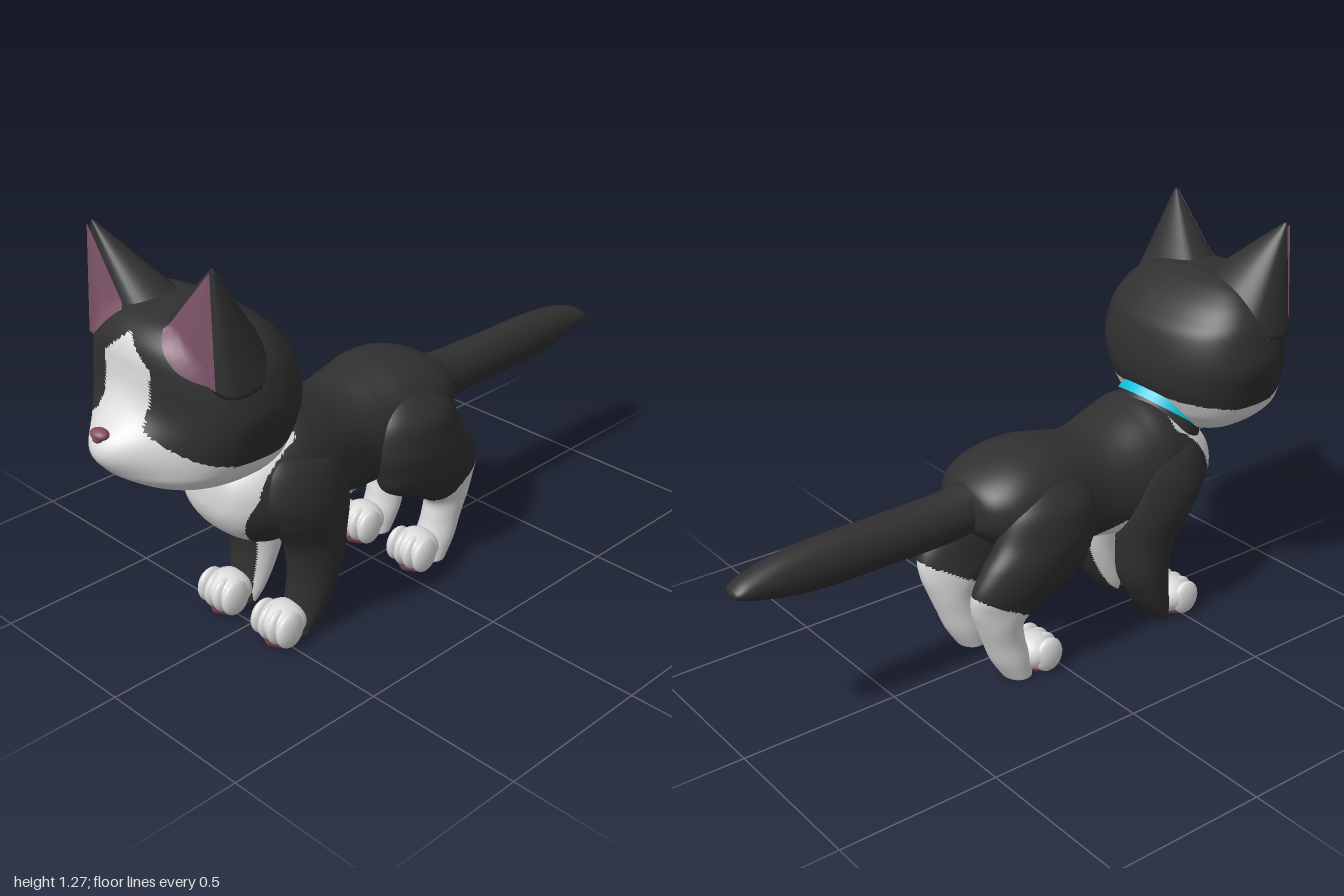
import * as THREE from 'three';

const mat = (name, color, side = THREE.FrontSide) =>
  Object.assign(new THREE.MeshStandardMaterial({ color, side }), { name });
const black = mat('black fur', 0x303030);
const white = mat('white fur', 0xdcdcdc);
const pink = mat('inner ear pink', 0x7a5266, THREE.DoubleSide);
const nosePink = mat('nose pink', 0x84505f);
const padPink = mat('paw pad pink', 0x6a3d4c);
const cyan = mat('collar blue', 0x12bfdc);

const clamp01 = (v) => Math.min(1, Math.max(0, v));
const spow = (v, p) => Math.sign(v) * Math.abs(v) ** p;

// Smooth interpolation through rows of numbers, t from 0 to 1
function rowAt(rows, t) {
  const f = t * (rows.length - 1);
  const i = Math.min(Math.floor(f), rows.length - 2);
  const u = f - i;
  const a = rows[Math.max(i - 1, 0)], b = rows[i], c = rows[i + 1], d = rows[Math.min(i + 2, rows.length - 1)];
  return b.map((v, k) => v + 0.5 * u * (c[k] - a[k]
    + u * (2 * a[k] - 5 * b[k] + 4 * c[k] - d[k] + u * (3 * (b[k] - c[k]) + d[k] - a[k]))));
}

// Closed skin over interpolated rings, always wound to face outwards
function loft(rows, ring, seg, steps) {
  const pos = [], index = [];
  for (let j = 0; j <= steps; j++) {
    const row = rowAt(rows, j / steps);
    for (let i = 0; i < seg; i++) pos.push(...ring(row, (i / seg) * Math.PI * 2));
  }
  for (const j of [0, steps]) {
    const c = [0, 0, 0];
    for (let i = 0; i < seg; i++) for (let k = 0; k < 3; k++) c[k] += pos[(j * seg + i) * 3 + k] / seg;
    pos.push(...c);
  }
  const first = (steps + 1) * seg;
  for (let i = 0; i < seg; i++) {
    const n = (i + 1) % seg;
    for (let j = 0; j < steps; j++) {
      const a = j * seg + i, b = j * seg + n;
      index.push(a, b, a + seg, b, b + seg, a + seg);
    }
    index.push(first, n, i, first + 1, steps * seg + i, steps * seg + n);
  }
  let volume = 0;
  const v = (i) => new THREE.Vector3().fromArray(pos, i * 3);
  for (let i = 0; i < index.length; i += 3) volume += v(index[i]).dot(v(index[i + 1]).cross(v(index[i + 2])));
  if (volume < 0) index.reverse();
  const geo = new THREE.BufferGeometry();
  geo.setAttribute('position', new THREE.Float32BufferAttribute(pos, 3));
  geo.setIndex(index);
  geo.computeVertexNormals();
  return geo;
}

// Splits faces into black and white fur by the position of their centre
function furMesh(name, geo, isWhite) {
  const p = geo.attributes.position, src = geo.index.array, lists = [[], []];
  for (let i = 0; i < src.length; i += 3) {
    const tri = [src[i], src[i + 1], src[i + 2]];
    const mid = (get) => tri.reduce((s, k) => s + p[get](k), 0) / 3;
    lists[isWhite(Math.abs(mid('getX')), mid('getY'), mid('getZ')) ? 1 : 0].push(...tri);
  }
  geo.setIndex([...lists[0], ...lists[1]]);
  geo.clearGroups();
  geo.addGroup(0, lists[0].length, 0);
  geo.addGroup(lists[0].length, lists[1].length, 1);
  const mesh = new THREE.Mesh(geo, [black, white]);
  mesh.name = name;
  return mesh;
}

function ball(name, material, [x, y, z], [rx, ry, rz]) {
  const mesh = new THREE.Mesh(new THREE.SphereGeometry(1, 20, 14), material);
  mesh.position.set(x, y, z);
  mesh.scale.set(rx, ry, rz);
  mesh.name = name;
  return mesh;
}

// Head rows: height, half width, back z, front z
const headRows = [
  [0.598, 0.02, 0.63, 0.7], [0.61, 0.12, 0.58, 0.8], [0.63, 0.185, 0.53, 0.86], [0.67, 0.235, 0.49, 0.9],
  [0.71, 0.262, 0.465, 0.905], [0.78, 0.287, 0.435, 0.9], [0.86, 0.305, 0.43, 0.885], [0.95, 0.292, 0.45, 0.885],
  [1.0, 0.272, 0.49, 0.883], [1.04, 0.24, 0.53, 0.868], [1.075, 0.19, 0.58, 0.83], [1.093, 0.12, 0.62, 0.77],
  [1.1, 0.02, 0.64, 0.68]];
const headZ = 0.655, headPower = 2.3;
const muzzle = (x, y) => 0.095 * Math.exp(-((x / 0.12) ** 2) - ((y - 0.76) / 0.09) ** 2);

function headRing([y, hw, zb, zf], a) {
  const x = hw * spow(Math.sin(a), 2 / headPower), c = spow(Math.cos(a), 2 / headPower);
  const z = c > 0 ? headZ + (zf - headZ) * c + muzzle(x, y) * Math.min(1, c * 1.5) : headZ + (headZ - zb) * c;
  return [x, y, z];
}

// Front surface of the head at x, y
function headFront(x, y) {
  let best = headRows[0];
  for (let i = 0; i <= 300; i++) {
    const r = rowAt(headRows, i / 300);
    if (Math.abs(r[0] - y) < Math.abs(best[0] - y)) best = r;
  }
  const q = Math.abs(x) / best[1];
  if (q >= 1 || Math.abs(best[0] - y) > 0.01) return 0;
  return headZ + (best[3] - headZ) * (1 - q ** headPower) ** (1 / headPower) + muzzle(x, y);
}

function headWhite(x, y, z) {
  if (z < headZ + 0.1) return y < 0.72 + Math.max(0, 0.6 - z) * 0.15;
  if (x < 0.09) return y < 1.055 - (x / 0.09) * 0.075;
  return y < Math.max(0.715, 0.83 - 0.657 * (x - 0.09));
}

function ear(s) {
  const g = new THREE.Group();
  g.name = s > 0 ? 'leftEar' : 'rightEar';
  const vec = ([x, y, z]) => new THREE.Vector3(x, y, z);
  const tip = vec([0.242, 1.274, 0.785]);
  const base = new THREE.CatmullRomCurve3([[0.05, 1.07, 0.79], [0.17, 0.98, 0.81], [0.283, 0.93, 0.78],
    [0.28, 0.95, 0.63], [0.17, 1.0, 0.58], [0.03, 1.08, 0.66]].map(vec), true);
  const shell = new THREE.Mesh(loft([[0], [0.5], [0.97]], ([v], a) => {
    const p = base.getPoint(a / (Math.PI * 2)).lerp(tip, v);
    return [s * p.x, p.y, p.z];
  }, 48, 16), black);
  shell.name = 'earShell';
  // Pink lining lies just in front of the ear and the brow
  const hem = new THREE.CatmullRomCurve3([[0.085, 1.075, 0.812], [0.17, 0.992, 0.826], [0.257, 0.953, 0.806]].map(vec));
  const peak = vec([0.243, 1.262, 0.797]);
  const lining = new THREE.PlaneGeometry(1, 1, 16, 16);
  const p = lining.attributes.position;
  for (let i = 0; i < p.count; i++) {
    const q = hem.getPoint(clamp01(0.5 + s * p.getX(i))).lerp(peak, p.getY(i) + 0.5);
    p.setXYZ(i, s * q.x, q.y, Math.max(q.z, headFront(q.x, q.y) + 0.005));
  }
  lining.computeVertexNormals();
  const inner = new THREE.Mesh(lining, pink);
  inner.name = 'earLining';
  g.add(shell, inner);
  return g;
}

function paw(s, front, name) {
  const g = new THREE.Group();
  g.name = name;
  g.add(ball('pawBase', white, [s * 0.118, 0.063, front - 0.08], [0.07, 0.058, 0.07]));
  for (const dx of [-0.054, -0.018, 0.018, 0.054])
    g.add(ball('toe', white, [s * 0.118 + dx, 0.06, front - 0.05 - Math.abs(dx) * 0.15], [0.022, 0.056, 0.05]));
  const pad = new THREE.Mesh(new THREE.CylinderGeometry(0.05, 0.046, 0.009, 7), padPink);
  pad.position.set(s * 0.118, 0.0045, front - 0.065);
  pad.name = 'pawPad';
  g.add(pad);
  return g;
}

// Leg rows: height, centre x, centre z, radius x, radius z
const foreRows = [[0.62, 0.12, 0.43, 0.05, 0.1], [0.56, 0.13, 0.425, 0.078, 0.14], [0.48, 0.14, 0.42, 0.086, 0.155],
  [0.4, 0.14, 0.395, 0.085, 0.14], [0.3, 0.13, 0.365, 0.077, 0.106], [0.2, 0.126, 0.36, 0.074, 0.09],
  [0.12, 0.122, 0.382, 0.07, 0.071], [0.05, 0.118, 0.412, 0.062, 0.05], [0.004, 0.118, 0.432, 0.05, 0.025]];
const hindRows = [[0.64, 0.1, -0.03, 0.05, 0.09], [0.56, 0.13, -0.03, 0.09, 0.15], [0.47, 0.145, -0.04, 0.09, 0.175],
  [0.4, 0.145, -0.075, 0.088, 0.192], [0.33, 0.14, -0.108, 0.08, 0.196], [0.27, 0.13, -0.157, 0.07, 0.145],
  [0.21, 0.125, -0.198, 0.062, 0.082], [0.14, 0.12, -0.185, 0.058, 0.067], [0.07, 0.118, -0.16, 0.06, 0.062],
  [0.004, 0.118, -0.135, 0.052, 0.045]];
const legSkin = (rows, s) => loft(rows, ([y, cx, cz, rx, rz], a) =>
  [s * (cx + rx * Math.sin(a)), y, cz + rz * Math.cos(a)], 64, 80);

// Body rows: z, top, bottom, half width
const bodyRows = [[0.662, 0.53, 0.47, 0.02], [0.645, 0.58, 0.42, 0.1], [0.6, 0.62, 0.36, 0.148], [0.52, 0.68, 0.31, 0.185],
  [0.43, 0.73, 0.3, 0.198], [0.35, 0.71, 0.305, 0.198], [0.25, 0.677, 0.32, 0.178], [0.18, 0.67, 0.33, 0.166],
  [0.1, 0.685, 0.33, 0.172], [0, 0.7, 0.34, 0.19], [-0.1, 0.69, 0.38, 0.19], [-0.18, 0.66, 0.43, 0.165],
  [-0.235, 0.62, 0.48, 0.11], [-0.25, 0.57, 0.53, 0.02]];
const bodyWhite = (x, y, z) => (z > 0.45 && x < 0.05 + 0.105 * clamp01((y - 0.31) / 0.2) ** 0.7)
  || (z > 0.05 && z < 0.5 && y < 0.33 + (z - 0.1) * 0.53 && y < 0.41);

// Tail rows: z, centre height, radius y, radius x
const tailRows = [[-0.15, 0.56, 0.08, 0.07], [-0.3, 0.535, 0.078, 0.07], [-0.5, 0.53, 0.077, 0.066], [-0.72, 0.529, 0.076, 0.062],
  [-0.85, 0.53, 0.062, 0.056], [-0.95, 0.529, 0.036, 0.047], [-0.99, 0.526, 0.016, 0.034], [-1, 0.525, 0.004, 0.01]];

export function createModel() {
  const cat = new THREE.Group();
  cat.name = 'cat';

  // Torso, neck and tail
  cat.add(furMesh('body', loft(bodyRows, ([z, top, bottom, hw], a) => [hw * spow(Math.sin(a), 0.88),
    (top + bottom) / 2 + ((top - bottom) / 2) * spow(Math.cos(a), 0.88), z], 112, 150), bodyWhite));
  const tilt = 0.61, collarAt = [0, 0.67, 0.535];
  const neck = new THREE.CylinderGeometry(0.134, 0.175, 0.17, 64, 16);
  neck.translate(0, -0.075, 0).rotateX(tilt).translate(...collarAt);
  cat.add(furMesh('neck', neck, (x, y, z) => z > 0.5 && x < 0.12));
  const tail = new THREE.Mesh(loft(tailRows, ([z, cy, ry, rx], a) =>
    [rx * Math.sin(a), cy + ry * Math.cos(a), z], 32, 56), black);
  tail.name = 'tail';
  cat.add(tail);

  // Collar band
  const band = new THREE.Mesh(new THREE.CylinderGeometry(0.142, 0.147, 0.03, 48), cyan);
  band.position.set(...collarAt);
  band.rotation.x = tilt;
  band.name = 'collar';
  cat.add(band);

  // Head, nose and ears
  cat.add(furMesh('head', loft(headRows, headRing, 160, 130), headWhite));
  cat.add(ball('nose', nosePink, [0, 0.807, 0.978], [0.03, 0.015, 0.022]));
  cat.add(ball('noseTip', nosePink, [0, 0.797, 0.982], [0.015, 0.013, 0.018]));

  // Paired parts
  for (const s of [1, -1]) {
    const side = s > 0 ? 'left' : 'right';
    cat.add(ear(s));
    cat.add(furMesh(side + 'FrontLeg', legSkin(foreRows, s), (x, y) => x < 0.066 && y < 0.34));
    cat.add(furMesh(side + 'HindLeg', legSkin(hindRows, s), (x, y, z) => y < 0.215 + Math.max(0, -0.1 - z) * 0.55));
    cat.add(paw(s, 0.565, side + 'FrontPaw'), paw(s, 0.005, side + 'HindPaw'));
  }
  return cat;
}
